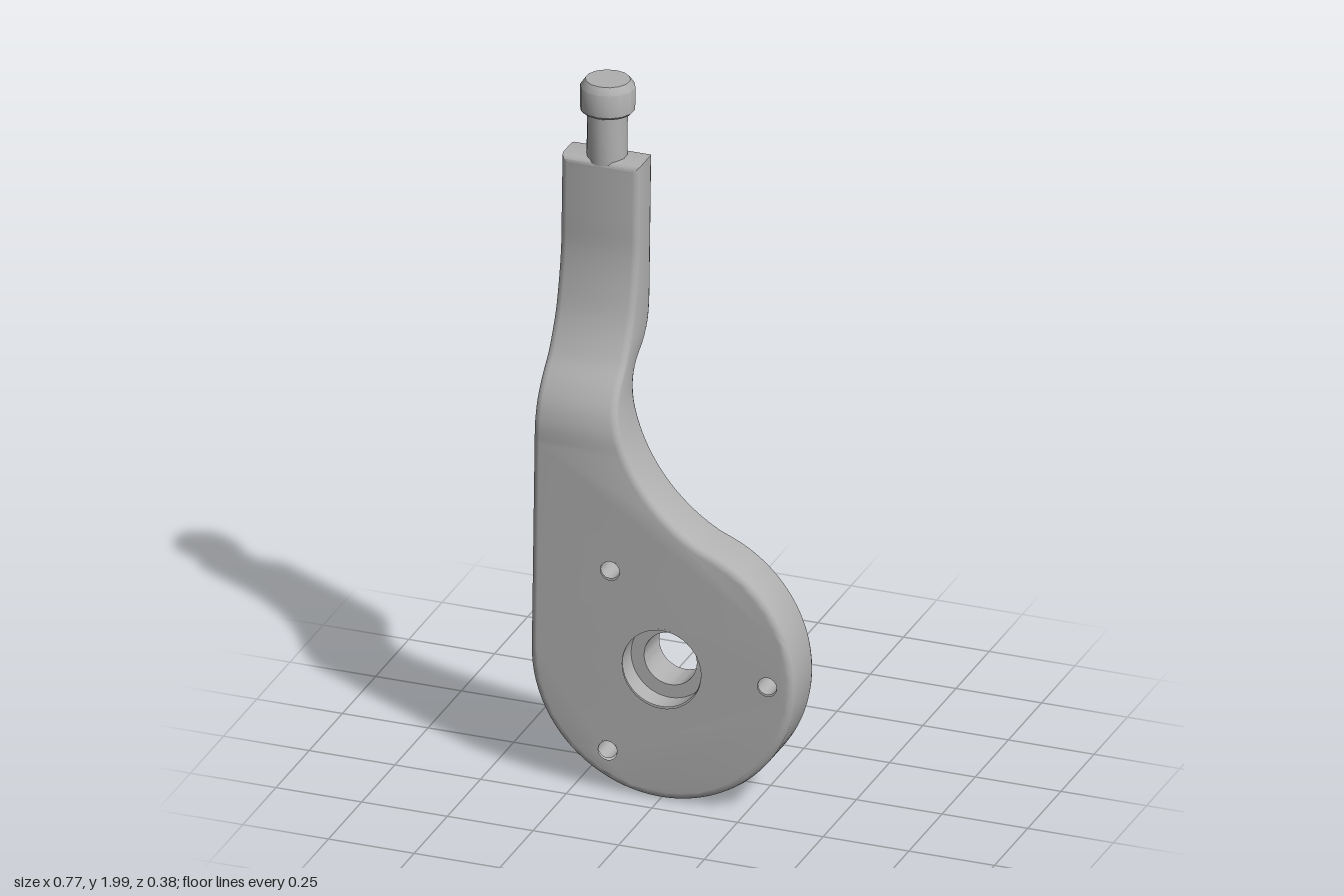
import * as THREE from 'three';
import { toCreasedNormals } from 'three/addons/utils/BufferGeometryUtils.js';

const TILT = 0.034;            // the whole lever leans back slightly
const CX = 0, CY = 0.392, DISC_R = 0.385, THICK = 0.157;
const LEFT_X = -0.385, RIGHT_X = -0.155, SPLIT_Y = 1.0, TOP_Y = 1.775;
const BEVEL = 0.02;
const FILLET = { x: 0.338, y: 1.2, r: 0.493 };

// Smooth interpolation through [y, z] points
function smoothCurve(pts) {
  const slope = i => {
    const a = pts[Math.max(0, i - 1)], b = pts[Math.min(pts.length - 1, i + 1)];
    return (b[1] - a[1]) / (b[0] - a[0]);
  };
  return y => {
    let i = 0;
    while (i < pts.length - 2 && y > pts[i + 1][0]) i++;
    const [y0, z0] = pts[i], [y1, z1] = pts[i + 1], h = y1 - y0;
    const t = (y - y0) / h, t2 = t * t, t3 = t2 * t;
    return z0 * (2 * t3 - 3 * t2 + 1) + slope(i) * h * (t3 - 2 * t2 + t)
      + z1 * (3 * t2 - 2 * t3) + slope(i + 1) * h * (t3 - t2);
  };
}

// Side profile: flat plate below, cranked arm above
const frontBend = smoothCurve([[0.9, 0.159], [1.03, 0.155], [1.07, 0.15], [1.12, 0.133], [1.17, 0.1],
  [1.225, 0.05], [1.315, 0], [1.41, -0.028], [1.505, -0.044], [1.6, -0.048], [1.8, -0.055]]);
const backBend = smoothCurve([[0.9, 0.002], [1.05, -0.003], [1.11, -0.007], [1.165, -0.022], [1.21, -0.055],
  [1.245, -0.105], [1.29, -0.136], [1.35, -0.147], [1.42, -0.15], [1.8, -0.162]]);
const frontZ = y => (y < 1.02 ? 0.19 - TILT * y : frontBend(y));
const backZ = y => (y < 1.02 ? 0.19 - THICK - TILT * y : backBend(y));

const rightX = y => (y >= FILLET.y ? RIGHT_X
  : FILLET.x - Math.sqrt(FILLET.r ** 2 - (FILLET.y - y) ** 2));

const smallHoles = [0, 1, 2].map(i => {
  const a = i * Math.PI * 2 / 3;
  return [CX + 0.308 * Math.cos(a), CY + 0.308 * Math.sin(a)];
});

const circle = (x, y, r, n) => Array.from({ length: n }, (_, i) =>
  new THREE.Vector2(x + r * Math.sin(i / n * Math.PI * 2), y + r * Math.cos(i / n * Math.PI * 2)));

// Move an outline inwards by d, with mitred corners
function inset(pts, d) {
  const n = pts.length;
  return pts.map((p, i) => {
    const e0 = p.clone().sub(pts[(i + n - 1) % n]).normalize();
    const e1 = pts[(i + 1) % n].clone().sub(p).normalize();
    const m = new THREE.Vector2(-e0.y - e1.y, e0.x + e1.x).normalize();
    return p.clone().addScaledVector(m, d / (m.x * -e0.y + m.y * e0.x));
  });
}

function bodyGeometry() {
  // Outline, counter-clockwise from the left edge at the split height
  const V = (x, y) => new THREE.Vector2(x, y);
  const outline = [V(LEFT_X, SPLIT_Y)];
  const tangent = Math.atan2(FILLET.y - CY, FILLET.x);
  const yTan = CY + DISC_R * Math.sin(tangent);
  for (let i = 0; i <= 64; i++) {
    const a = Math.PI + (Math.PI + tangent) * i / 64;
    outline.push(V(DISC_R * Math.cos(a), CY + DISC_R * Math.sin(a)));
  }
  for (let i = 1; i < 16; i++) {
    const y = yTan + (SPLIT_Y - yTan) * i / 16;
    outline.push(V(rightX(y), y));
  }
  const first = outline.length, steps = 52;
  const ys = Array.from({ length: steps + 1 }, (_, k) => SPLIT_Y + (TOP_Y - SPLIT_Y) * k / steps);
  ys.forEach(y => outline.push(V(rightX(y), y)));
  for (let k = steps; k > 0; k--) outline.push(V(LEFT_X, ys[k]));
  const n = outline.length;

  const pos = [];
  const tri = (a, b, c) => pos.push(...a, ...b, ...c);
  const quad = (a, b, c, d) => { tri(a, b, c); tri(a, c, d); };

  // Side wall with rounded edges, back to front
  const rows = [];
  for (let j = 0; j <= 3; j++) {
    const a = j * Math.PI / 6, dz = BEVEL * (1 - Math.cos(a));
    const ring = inset(outline, BEVEL * (1 - Math.sin(a)));
    rows[j] = ring.map(p => [p.x, p.y, backZ(p.y) + dz]);
    rows[7 - j] = ring.map(p => [p.x, p.y, frontZ(p.y) - dz]);
  }
  for (let j = 0; j < 7; j++) {
    for (let i = 0; i < n; i++) {
      const k = (i + 1) % n;
      quad(rows[j][i], rows[j][k], rows[j + 1][k], rows[j + 1][i]);
    }
  }

  // Front and back faces: pierced plate below, bent strip above
  const rim = inset(outline, BEVEL);
  for (const front of [true, false]) {
    const at = p => [p.x, p.y, front ? frontZ(p.y) : backZ(p.y)];
    const face = (a, b, c) => (front ? tri(at(a), at(b), at(c)) : tri(at(a), at(c), at(b)));
    const contour = rim.slice(0, first + 1);
    const holes = smallHoles.map(([x, y]) => circle(x, y, 0.028, 16));
    holes.push(circle(CX, CY, front ? 0.115 : 0.077, 48));
    const all = [...contour, ...holes.flat()];
    for (const [a, b, c] of THREE.ShapeUtils.triangulateShape(contour, holes)) {
      const area = all[b].clone().sub(all[a]).cross(all[c].clone().sub(all[a]));
      if (area > 0) face(all[a], all[b], all[c]);
      else face(all[a], all[c], all[b]);
    }
    for (let k = 0; k < steps; k++) {
      const l0 = rim[(n - k) % n], l1 = rim[n - k - 1];
      const r0 = rim[first + k], r1 = rim[first + k + 1];
      face(l0, r0, r1);
      face(l0, r1, l1);
    }
  }
  const geo = new THREE.BufferGeometry();
  geo.setAttribute('position', new THREE.Float32BufferAttribute(pos, 3));
  return toCreasedNormals(geo, 0.7);
}

const lathe = (pts, segments) => toCreasedNormals(
  new THREE.LatheGeometry(pts.map(p => new THREE.Vector2(...p)), segments), 0.6);

export function createModel() {
  const model = new THREE.Group();
  const grey = new THREE.MeshStandardMaterial({ color: 0xb0b0b0, side: THREE.DoubleSide });
  grey.name = 'grey metal';
  const add = (name, geometry) => {
    const mesh = new THREE.Mesh(geometry, grey);
    mesh.name = name;
    model.add(mesh);
    return mesh;
  };

  add('leverBody', bodyGeometry());

  // Counterbore, bore and raised disc on the back
  const hub = add('hubBoreAndBackDisc', lathe([[0.115, THICK], [0.115, 0.09], [0.077, 0.09],
    [0.077, -0.024], [0.305, -0.024], [0.305, 0.002]], 48));
  hub.position.set(CX, CY, backZ(CY));
  hub.rotation.x = Math.PI / 2 - TILT;

  // Walls of the three small holes
  smallHoles.forEach(([x, y], i) => {
    const hole = add('smallHole' + (i + 1), lathe([[0.028, THICK], [0.028, 0]], 16));
    hole.position.set(x, y, backZ(y));
    hole.rotation.x = Math.PI / 2 - TILT;
  });

  // Headed pin on the end of the arm
  const pin = add('endPin', lathe([[0.056, 0], [0.056, 0.145], [0.07, 0.145], [0.076, 0.152],
    [0.076, 0.218], [0.062, 0.238], [0, 0.238]], 14));
  pin.position.set(-0.27, 1.76, -0.108);
  pin.rotation.x = -TILT;

  return model;
}
